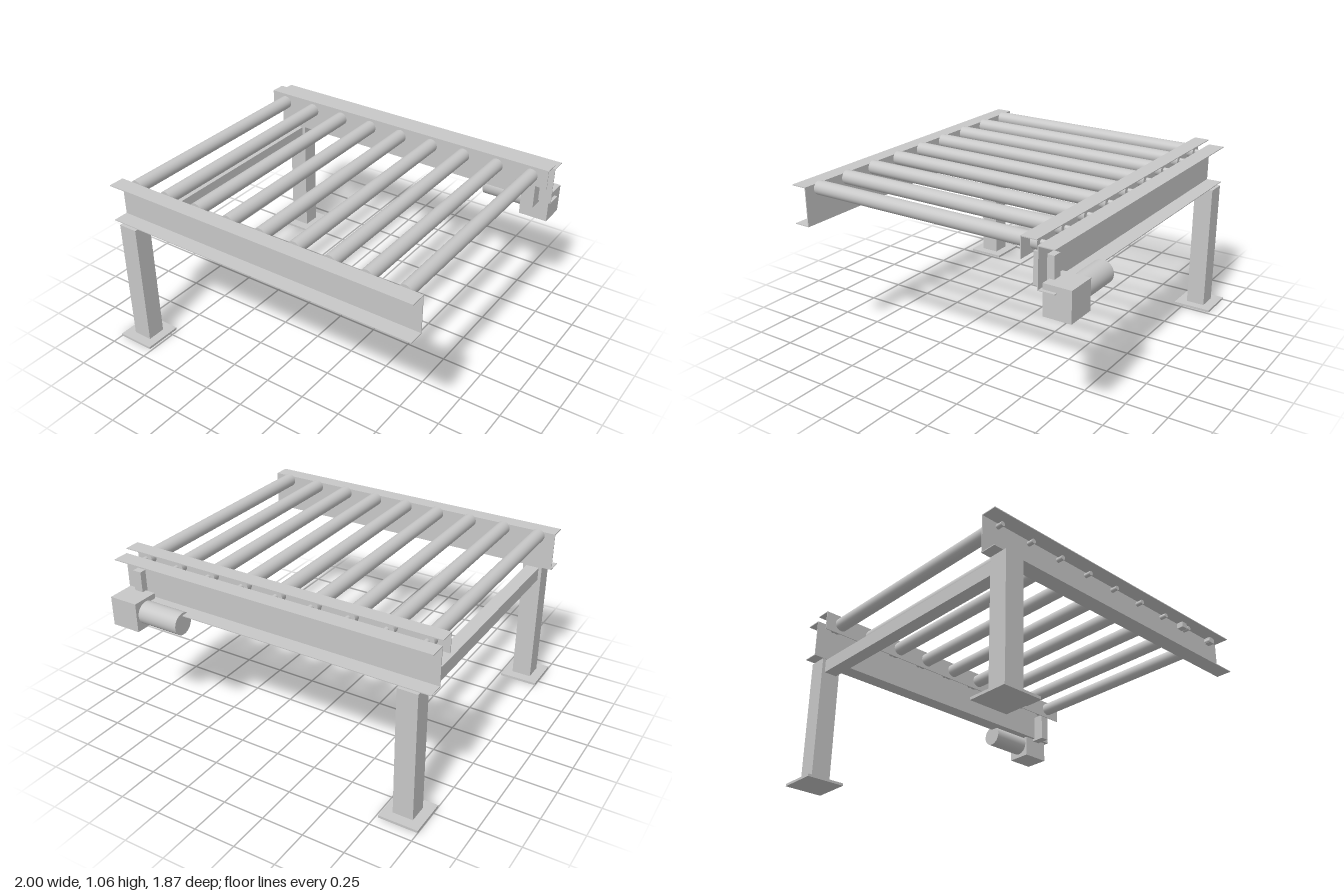
import * as THREE from 'three';

export function createModel() {
  const model = new THREE.Group();
  model.name = 'rollerConveyor';
  const steel = new THREE.MeshStandardMaterial({ color: 0xc7c7c7 });
  steel.name = 'greySteel';

  // Box given by its limits on each axis
  const box = (name, x0, x1, y0, y1, z0, z1, parent = model) => {
    const mesh = new THREE.Mesh(new THREE.BoxGeometry(x1 - x0, y1 - y0, z1 - z0), steel);
    mesh.position.set((x0 + x1) / 2, (y0 + y1) / 2, (z0 + z1) / 2);
    mesh.name = name;
    parent.add(mesh);
  };
  // Cylinder along z between two limits
  const rod = (name, r, x, y, z0, z1, parent) => {
    const mesh = new THREE.Mesh(new THREE.CylinderGeometry(r, r, z1 - z0, 32).rotateX(Math.PI / 2), steel);
    mesh.position.set(x, y, (z0 + z1) / 2);
    mesh.name = name;
    parent.add(mesh);
  };

  // Side channels with outward flanges, legs and foot plates
  const t = 0.005;
  for (const s of [1, -1]) {
    const label = s > 0 ? 'front' : 'back';
    const span = (a, b) => (s > 0 ? [a, b] : [-b, -a]);
    const rail = new THREE.Group();
    rail.name = label + 'Rail';
    box('web', -1, 1, 0.797, 1.03, ...span(0.754, 0.754 + t), rail);
    box('topFlange', -1, 1, 1.03 - t, 1.03, ...span(0.754, 0.852), rail);
    box('bottomFlange', -1, 1, 0.797, 0.797 + t, ...span(0.754, 0.852), rail);
    model.add(rail);
    box(label + 'Leg', -0.94, -0.82, 0.015, 0.797, ...span(0.757, 0.872));
    box(label + 'FootPlate', -1, -0.765, 0, 0.015, ...span(0.695, 0.932));
  }
  box('crossBeam', -0.92, -0.84, 0.708, 0.79, -0.757, 0.757);

  // Rollers with shafts and drive sprockets
  for (let i = 0; i < 9; i++) {
    const x = -0.895 + i * 0.22375;
    const roller = new THREE.Group();
    roller.name = 'roller' + (i + 1);
    rod('tube', 0.042, x, 1.003, -0.655, 0.752, roller);
    rod('shaft', 0.014, x, 1.003, -0.775, 0.8, roller);
    rod('sprocket', 0.041, x, 1.003, -0.71, -0.67, roller);
    model.add(roller);
  }

  // Angled chain guard along the driven side
  box('guardTop', -1, 1, 1.06 - t, 1.06, -0.75, -0.657);
  box('guardSkirt', -1, 1, 0.94, 1.06 - t, -0.657 - t, -0.657);

  // Small blocks under the front top flange
  for (const x of [0.628, 0.908]) box('sensorBlock', x - 0.022, x + 0.022, 0.99, 1.025, 0.759, 0.8);

  // Drive unit: chain case, gearbox and motor
  box('chainCase', 0.865, 0.92, 0.78, 0.96, -0.8, -0.68);
  box('gearbox', 0.8, 0.98, 0.658, 0.835, -0.935, -0.772);
  const motor = new THREE.Mesh(new THREE.CylinderGeometry(0.067, 0.067, 0.265, 40).rotateZ(Math.PI / 2), steel);
  motor.position.set(0.6675, 0.75, -0.852);
  motor.name = 'motor';
  model.add(motor);

  return model;
}
